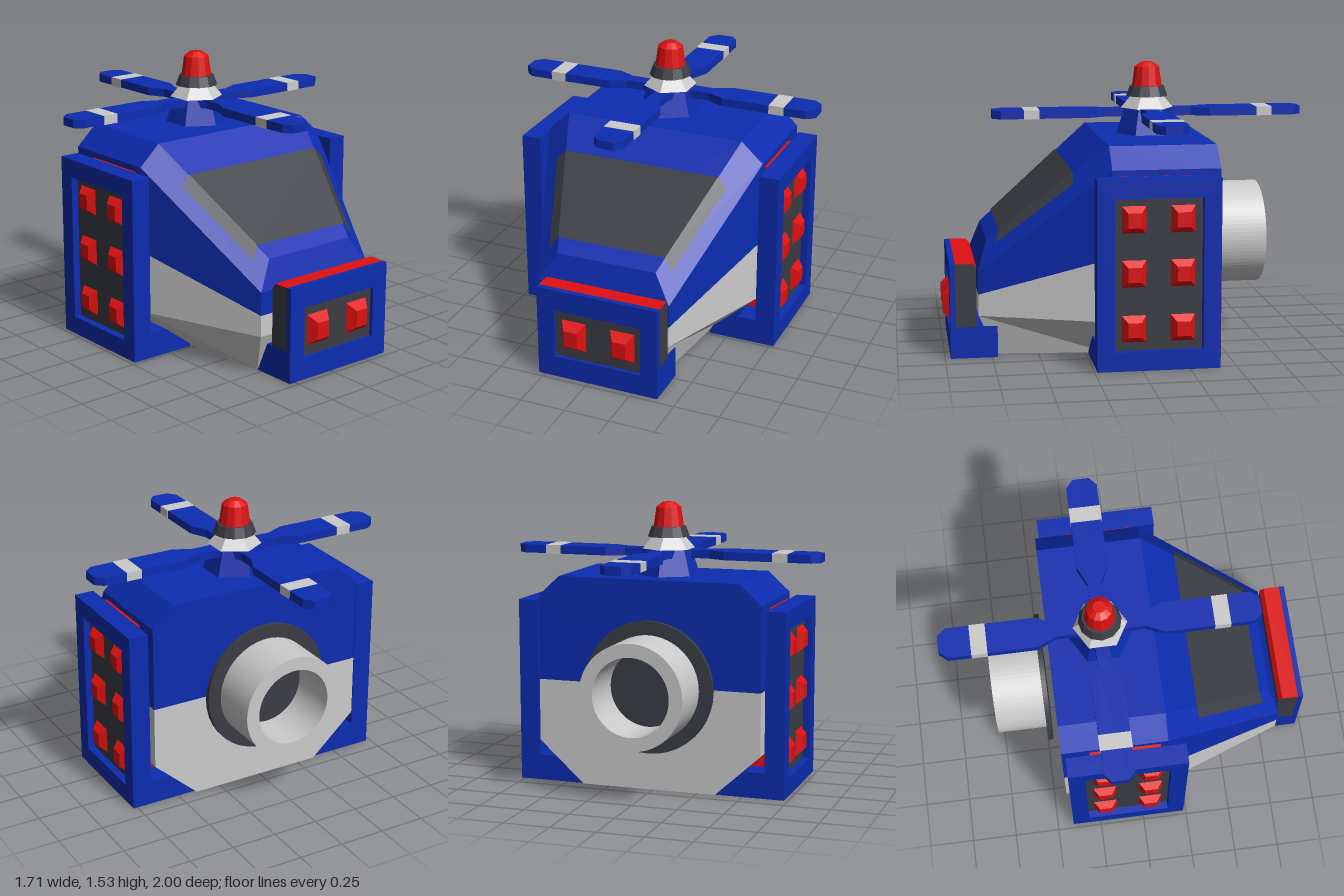
import * as THREE from 'three';

const mat = (color, flat = true) => new THREE.MeshStandardMaterial({ color, flatShading: flat });
const blue = mat(0x0c2cb0), red = mat(0xe01010), dark = mat(0x3a3d44), grey = mat(0xcccccc);
const greySmooth = mat(0xcccccc, false), darkSmooth = mat(0x3a3d44, false);
const CX = 0.022; // hull centre line

function add(parent, name, geometry, material, x = 0, y = 0, z = 0) {
  const m = new THREE.Mesh(geometry, material);
  m.name = name;
  m.position.set(x, y, z);
  parent.add(m);
  return m;
}
const box = (w, h, d) => new THREE.BoxGeometry(w, h, d);
const shape = pts => new THREE.Shape(pts.map(p => new THREE.Vector2(p[0], p[1])));
const extrude = (s, depth) => new THREE.ExtrudeGeometry(s, { depth, bevelEnabled: false, curveSegments: 1 });
const rect = (w, h) => [[-w / 2, -h / 2], [w / 2, -h / 2], [w / 2, h / 2], [-w / 2, h / 2]];
const mix = (a, b, t) => a.map((v, i) => v + (b[i] - v) * t);
const flip = p => [-p[0], p[1], p[2]];

// flat-faced geometry from four-cornered faces
function quads(list) {
  const pos = [];
  for (const [a, b, c, d] of list) pos.push(...a, ...b, ...c, ...a, ...c, ...d);
  const g = new THREE.BufferGeometry();
  g.setAttribute('position', new THREE.Float32BufferAttribute(pos, 3));
  g.computeVertexNormals();
  return g;
}

// skin over mirrored cross-sections, listed back to front, with end caps
function loft(sections) {
  const faces = [], n = sections[0].length, last = sections.length - 1;
  for (let s = 0; s < last; s++)
    for (let i = 0; i < n - 1; i++)
      faces.push([sections[s][i], sections[s][i + 1], sections[s + 1][i + 1], sections[s + 1][i]]);
  for (let i = 0; i < n / 2 - 1; i++) {
    const ring = [i, i + 1, n - 2 - i, n - 1 - i];
    faces.push(ring.map(k => sections[last][k]));
    faces.push(ring.map(k => sections[0][k]).reverse());
  }
  return quads(faces);
}

// raised frame with a sunken dark panel and a grid of buttons; faces +z
function buttonPanel(w, h, holeW, holeH, depth, xs, ys, bw, bh, bd) {
  const g = new THREE.Group();
  const s = shape(rect(w, h));
  s.holes.push(new THREE.Path(rect(holeW, holeH).map(p => new THREE.Vector2(...p))));
  add(g, 'panelFrame', extrude(s, depth), blue);
  add(g, 'panelFloor', box(holeW, holeH, 0.01), dark, 0, 0, 0.005);
  const button = new THREE.CylinderGeometry(0.38, Math.SQRT1_2, 1, 4);
  button.rotateY(Math.PI / 4).rotateX(Math.PI / 2).scale(bw, bh, bd);
  for (const x of xs) for (const y of ys) add(g, 'button', button, red, x, y, 0.008 + bd / 2);
  return g;
}

function hull() {
  const g = new THREE.Group();
  g.name = 'hull';
  g.position.x = CX;
  // roof, shoulder, colour line, lower side, bottom
  const full = z => [[0.505, 1.14, z], [0.625, 1.03, z], [0.625, 0.57, z], [0.625, 0.23, z], [0.375, 0.003, z]];
  const nose = [[0.28, 0.62, 0.77], [0.375, 0.47, 0.82], [0.375, 0.345, 0.82], [0.375, 0.23, 0.82], [0.31, 0.003, 0.72]];
  const rows = [full(-0.43), full(0.14), nose];
  const upper = rows.map(([T, C, M]) => [M, C, T, flip(T), flip(C), flip(M)]);
  const lower = rows.map(([, , M, L, B]) => [flip(M), flip(L), flip(B), B, L, M]);
  add(g, 'upperHull', loft(upper), blue);
  add(g, 'lowerHull', loft(lower), grey);

  // windscreen wrapping onto the chamfers
  const [T, C] = rows[1], [t, c] = nose;
  const edge = k => mix(T, t, k);
  const side = k => mix(edge(k), mix(C, c, k), 0.45);
  const a = edge(0.28), b = edge(0.89), p = side(0.28), q = side(0.89);
  add(g, 'windscreen', quads([
    [flip(b), b, a, flip(a)],
    [b, q, p, a],
    [flip(a), flip(p), flip(q), flip(b)],
  ]), dark, 0, 0.004, 0.004);
  return g;
}

function sidePod(s) {
  const g = new THREE.Group();
  g.name = s > 0 ? 'leftPod' : 'rightPod';
  g.position.x = CX;
  const slab = (pts, d) => extrude(shape(pts.map(([x, y]) => [x * s, y])), d);
  // upright slab with a foot reaching under the hull
  add(g, 'podBody', slab([[0.375, 0], [0.7, 0], [0.7, 1], [0.642, 1], [0.642, 0.14], [0.54, 0.14], [0.375, 0.015]], 0.645),
    blue, 0, 0, -0.41);
  // red lining between pod and hull
  add(g, 'podLining', slab([[0.62, 1], [0.642, 1], [0.642, 0.13], [0.52, 0.13], [0.62, 0.23]], 0.38), red, 0, -0.002, -0.28);
  const panel = buttonPanel(0.645, 1, 0.46, 0.8, 0.05, [-0.128, 0.128], [-0.285, 0.005, 0.288], 0.13, 0.145, 0.04);
  panel.name = 'podPanel';
  panel.position.set(0.7 * s, 0.5, -0.0875);
  panel.rotation.y = s * Math.PI / 2;
  g.add(panel);
  return g;
}

function noseBlock() {
  const g = new THREE.Group();
  g.name = 'noseBlock';
  g.position.x = 0.055;
  add(g, 'noseBase', box(0.68, 0.17, 0.22), blue, 0, 0.085, 0.83);
  // dark block with a clipped rear edge, profile as (-z, y)
  const core = extrude(shape([[-0.94, 0.17], [-0.83, 0.17], [-0.83, 0.485], [-0.85, 0.51], [-0.94, 0.51]]), 0.68);
  core.rotateY(Math.PI / 2);
  add(g, 'noseCore', core, dark, -0.34);
  add(g, 'noseTop', box(0.68, 0.006, 0.09), red, 0, 0.512, 0.895);
  const lip = [[-0.34, 0.488, 0.827], [-0.34, 0.515, 0.85]];
  add(g, 'noseTopEdge', quads([[lip[0], lip[1], flip(lip[1]), flip(lip[0])]]), red);
  const panel = buttonPanel(0.68, 0.515, 0.49, 0.275, 0.03, [-0.138, 0.138], [0], 0.14, 0.17, 0.052);
  panel.name = 'nosePanel';
  panel.position.set(0, 0.2575, 0.94);
  g.add(panel);
  return g;
}

function thruster() {
  const g = new THREE.Group();
  g.name = 'thruster';
  g.position.set(0, 0.573, 0);
  const disc = new THREE.CylinderGeometry(0.357, 0.357, 0.027, 40).rotateX(Math.PI / 2);
  add(g, 'thrusterFlange', disc, darkSmooth, 0, 0, -0.478);
  const ring = new THREE.Shape().absarc(0, 0, 0.283, 0, Math.PI * 2);
  ring.holes.push(new THREE.Path().absarc(0, 0, 0.21, 0, Math.PI * 2, true));
  const tube = new THREE.ExtrudeGeometry(ring, { depth: 0.275, bevelEnabled: false, curveSegments: 40 });
  add(g, 'thrusterNozzle', tube, greySmooth, 0, 0, -0.765);
  return g;
}

function rotor() {
  const g = new THREE.Group();
  g.name = 'rotor';
  g.position.z = -0.145;
  const stage = (name, r0, r1, y0, y1, sides, m) =>
    add(g, name, new THREE.CylinderGeometry(r1, r0, y1 - y0, sides), m, 0, (y0 + y1) / 2);
  stage('hubBase', 0.17, 0.125, 1.14, 1.28, 6, blue);
  stage('hubCone', 0.145, 0.085, 1.28, 1.35, 6, grey);
  stage('hubCollar', 0.115, 0.095, 1.345, 1.4, 12, dark);
  stage('beacon', 0.083, 0.068, 1.4, 1.505, 12, red);
  stage('beaconTip', 0.068, 0.033, 1.505, 1.53, 12, red);

  // half outline of one blade, mirrored across its length
  const half = [[0.06, 0.08], [0.14, 0.038], [0.24, 0.038], [0.335, 0.083], [0.81, 0.083], [0.855, 0.045]];
  const outline = [...half, ...half.map(([x, y]) => [x, -y]).reverse()];
  const bladeGeo = extrude(shape(outline), 0.045).rotateX(-Math.PI / 2);
  for (let i = 0; i < 4; i++) {
    const blade = new THREE.Group();
    blade.name = 'blade';
    blade.rotation.y = i * Math.PI / 2;
    add(blade, 'bladeBody', bladeGeo, blue, 0, 1.235);
    add(blade, 'bladeBand', box(0.085, 0.049, 0.17), grey, 0.643, 1.2575);
    g.add(blade);
  }
  return g;
}

export function createModel() {
  const model = new THREE.Group();
  model.name = 'rotorcraft';
  model.add(hull(), sidePod(1), sidePod(-1), noseBlock(), thruster(), rotor());
  return model;
}
